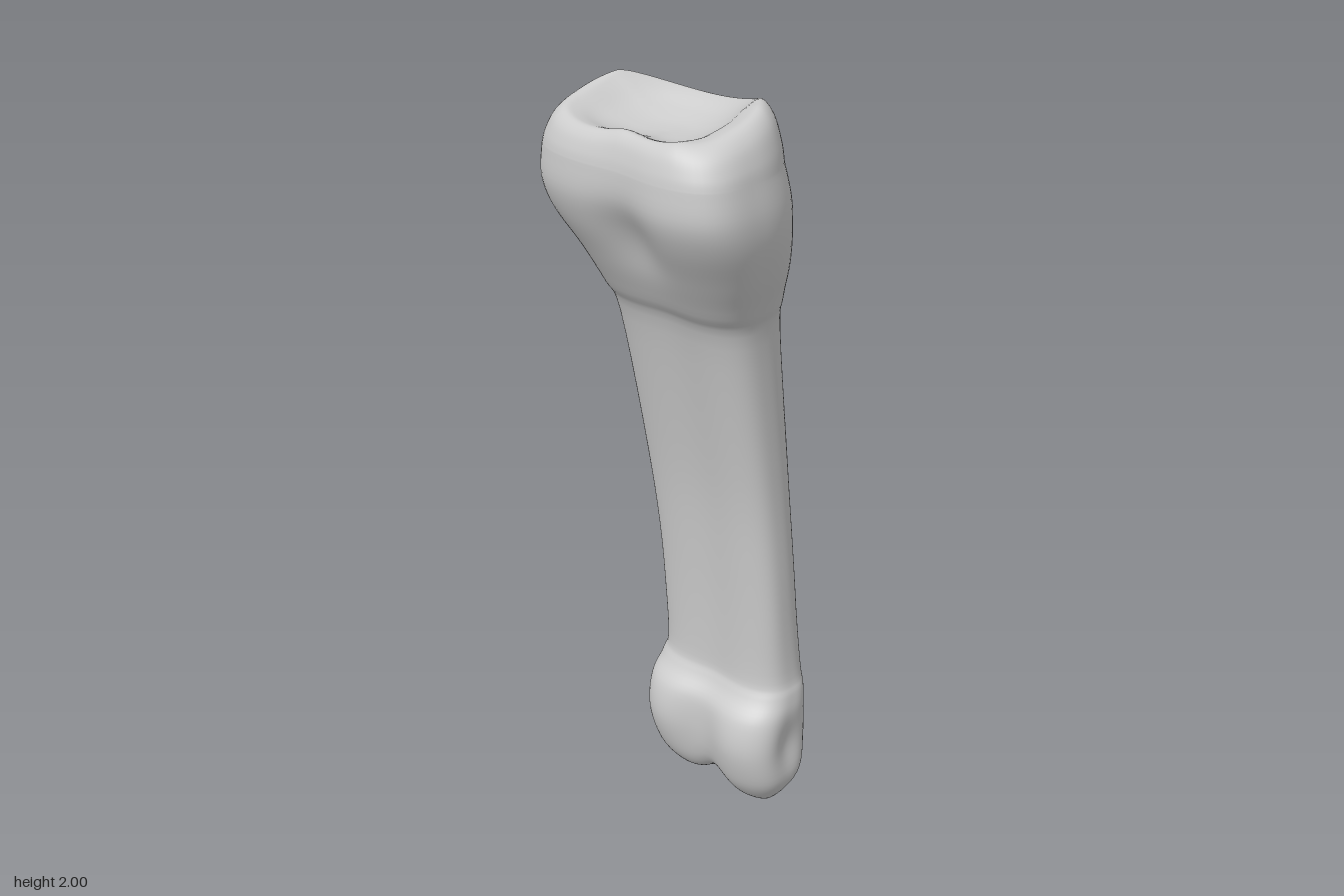
import * as THREE from 'three';
import { mergeVertices } from 'three/addons/utils/BufferGeometryUtils.js';

const SEG = 96, SUB = 5;
const { smoothstep, clamp } = THREE.MathUtils;

// Extents from the lower knuckle to the upper head: y, xMin, xMax, zBack, zFront
const SECTIONS = [
  [0, -0.1, 0.17, -0.13, -0.13],
  [0.008, -0.12, 0.19, -0.17, -0.09],
  [0.04, -0.165, 0.22, -0.22, -0.05],
  [0.1, -0.195, 0.25, -0.26, -0.015],
  [0.2, -0.21, 0.255, -0.275, 0.01],
  [0.29, -0.21, 0.25, -0.273, -0.005],
  [0.35, -0.2, 0.238, -0.273, -0.05],
  [0.42, -0.188, 0.222, -0.275, -0.065],
  [0.7, -0.192, 0.212, -0.27, -0.048],
  [1, -0.21, 0.205, -0.25, -0.01],
  [1.4, -0.22, 0.215, -0.21, 0.08],
  [1.5, -0.235, 0.24, -0.205, 0.13],
  [1.6, -0.265, 0.28, -0.2, 0.19],
  [1.7, -0.31, 0.31, -0.19, 0.25],
  [1.78, -0.32, 0.317, -0.18, 0.28],
  [1.86, -0.31, 0.305, -0.16, 0.28],
];

// Joint socket on top: scale toward its centre, and height toward the rim
const SOCKET = [[1, 0], [0.975, 0.35], [0.91, 0.78], [0.81, 1], [0.69, 0.92], [0.5, 0.68], [0.25, 0.5], [0, 0.45]];

const gauss = (d, w) => Math.exp(-((d / w) ** 2));

// Smooth interpolation through a list of rows
function sample(rows, t) {
  const last = rows.length - 1;
  const i = Math.min(Math.floor(t), last - 1), f = t - i;
  const [a, b, c, d] = [i - 1, i, i + 1, i + 2].map(k => rows[clamp(k, 0, last)]);
  return b.map((_, k) => {
    const v0 = (c[k] - a[k]) / 2, v1 = (d[k] - b[k]) / 2;
    return b[k] + f * (v0 + f * (3 * (c[k] - b[k]) - 2 * v0 - v1 + f * (2 * (b[k] - c[k]) + v0 + v1)));
  });
}

// One point on a D-shaped cross-section: rounded back, squarer front
function outline([y, x0, x1, zb, zf], angle) {
  const c = Math.cos(angle), s = Math.sin(angle);
  const n = s > 0 ? 3 + 0.4 * smoothstep(y, 1.6, 1.8) : 2.6 - 0.5 * smoothstep(y, 0.2, 0.8);
  const r = (Math.abs(c) ** n + Math.abs(s) ** n) ** (-1 / n);
  const zm = zb + (zf - zb) * (0.5 + 0.09 * smoothstep(y, 0.3, 0.6));
  let x = (x0 + x1) / 2 + (x1 - x0) / 2 * r * c;
  let z = zm + (s > 0 ? zf - zm : zm - zb) * r * s;
  if (s > 0) {
    // front groove, deepest on the knuckle and under the head
    const groove = 0.012 * smoothstep(y, 0, 0.1) + 0.028 * gauss(y - 0.2, 0.12) + 0.026 * gauss(y - 1.69, 0.09);
    z -= groove * gauss(x - 0.02, 0.09) * s;
    z += 0.05 * (x - 0.17) * s * smoothstep(y, 1.5, 1.8);
  }
  // shallow pits on both sides of the knuckle
  x -= Math.sign(c) * 0.022 * gauss(z + 0.14, 0.06) * gauss(y - 0.2, 0.08) * Math.abs(c);
  // notch between the two condyles
  const low = 1 - smoothstep(y, 0.02, 0.2);
  const lift = low * (0.045 * gauss(x - 0.04, 0.06) + 0.008 * (1 - smoothstep(x, 0, 0.08)));
  return new THREE.Vector3(x, y + lift, z);
}

// Height of the socket rim: high at both sides, sloping to the front
function rimHeight(x, z) {
  const side = Math.min(1, ((x + 0.03) / 0.2) ** 2);
  return 1.965 + 0.035 * side - Math.max(0, z) * (0.07 + 0.8 * Math.abs(x)) - 0.1 * Math.max(0, -z - 0.03);
}

function boneGeometry() {
  const rings = [];
  const angles = Array.from({ length: SEG }, (_, j) => j / SEG * Math.PI * 2);

  // knuckle, shaft and flared head
  const steps = (SECTIONS.length - 1) * SUB;
  for (let i = 0; i <= steps; i++) {
    const row = sample(SECTIONS, i / SUB);
    rings.push(angles.map(a => outline(row, a)));
  }

  // rounded rim and hollow socket
  const edge = rings[rings.length - 1];
  const capSteps = (SOCKET.length - 1) * SUB;
  for (let i = 1; i <= capSteps; i++) {
    const [s, t] = sample(SOCKET, i / SUB);
    rings.push(edge.map(p => {
      const x = -0.02 + (p.x + 0.02) * s, z = 0.06 + (p.z - 0.06) * s;
      return new THREE.Vector3(x, p.y + (rimHeight(x, z) - p.y) * t, z);
    }));
  }

  // skin the rings
  const index = [];
  for (let i = 0; i < rings.length - 1; i++) {
    for (let j = 0; j < SEG; j++) {
      const a = i * SEG + j, b = i * SEG + (j + 1) % SEG;
      index.push(a, a + SEG, b, b, a + SEG, b + SEG);
    }
  }
  const geometry = new THREE.BufferGeometry().setFromPoints(rings.flat());
  geometry.setIndex(index);
  const merged = mergeVertices(geometry, 1e-4);
  merged.computeVertexNormals();
  return merged;
}

export function createModel() {
  const group = new THREE.Group();
  group.name = 'fingerBone';
  const bone = new THREE.Mesh(boneGeometry(), new THREE.MeshStandardMaterial({ color: 0xcccccc }));
  bone.name = 'bone';
  group.add(bone);
  return group;
}
